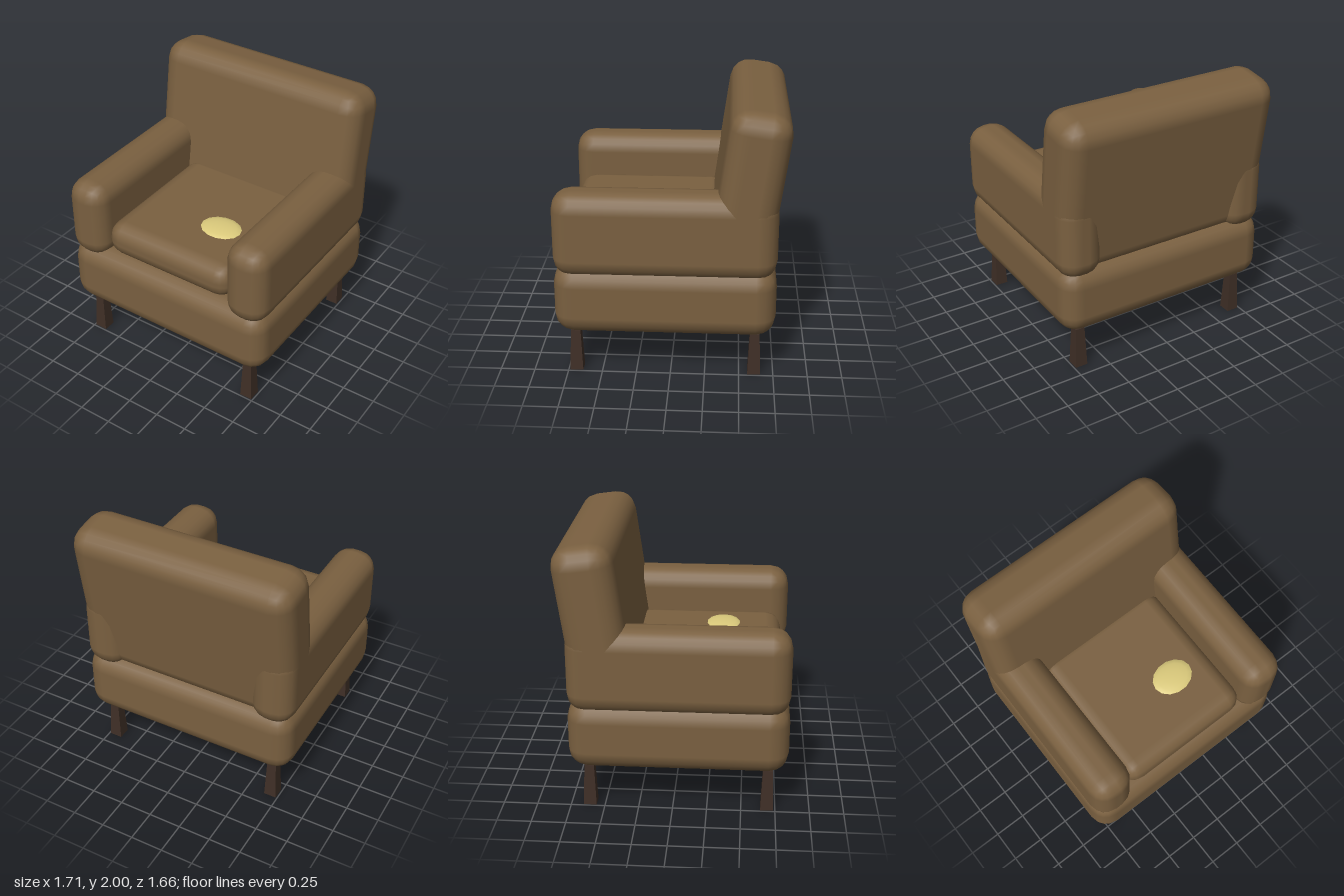
import * as THREE from 'three';
import { RoundedBoxGeometry } from 'three/addons/geometries/RoundedBoxGeometry.js';

function material(name, color) {
  const m = new THREE.MeshStandardMaterial({ color });
  m.name = name;
  return m;
}

export function createModel() {
  const group = new THREE.Group();
  group.name = 'armchair';
  const upholstery = material('brown upholstery', 0x7a6040);
  const wood = material('dark wood', 0x3f2f26);
  const yellow = material('pale yellow', 0xdccb7c);

  function add(name, geometry, mat, x, y, z) {
    const mesh = new THREE.Mesh(geometry, mat);
    mesh.name = name;
    mesh.position.set(x, y, z);
    group.add(mesh);
    return mesh;
  }

  // Padded block; the coarse rounding falls slightly short of its nominal size
  function pad(name, w, h, d, r, x, y, z) {
    const e = 0.076 * r;
    return add(name, new RoundedBoxGeometry(w + e, h + e, d + e, 2, r), upholstery, x, y, z);
  }

  // Base, seat and leaning backrest
  pad('base', 1.7, 0.51, 1.58, 0.145, 0, 0.595, 0.04);
  pad('seatCushion', 1.07, 0.26, 1.15, 0.12, 0, 0.975, 0.195);
  const back = pad('backrest', 1.7, 1.2, 0.425, 0.15, 0, 1.391, -0.549);
  back.rotation.x = -0.139;

  // Arms and tapered square legs
  for (const side of [1, -1]) {
    const label = side > 0 ? 'left' : 'right';
    pad(label + 'Arm', 0.32, 0.62, 1.58, 0.14, side * 0.69, 1.09, 0.04);
    for (const [end, z] of [['Front', 0.69], ['Back', -0.61]]) {
      const leg = new THREE.CylinderGeometry(0.035 * Math.SQRT2, 0.048 * Math.SQRT2, 0.32, 4, 1)
        .rotateY(Math.PI / 4).toNonIndexed();
      leg.computeVertexNormals();
      add(label + end + 'Leg', leg, wood, side * 0.69, 0.16, z);
    }
  }

  // Flattened disc lying on the seat
  const disc = add('seatDisc', new THREE.SphereGeometry(1, 14, 8), yellow, 0.2, 1.1, 0.332);
  disc.scale.set(0.17, 0.032, 0.135);

  return group;
}
